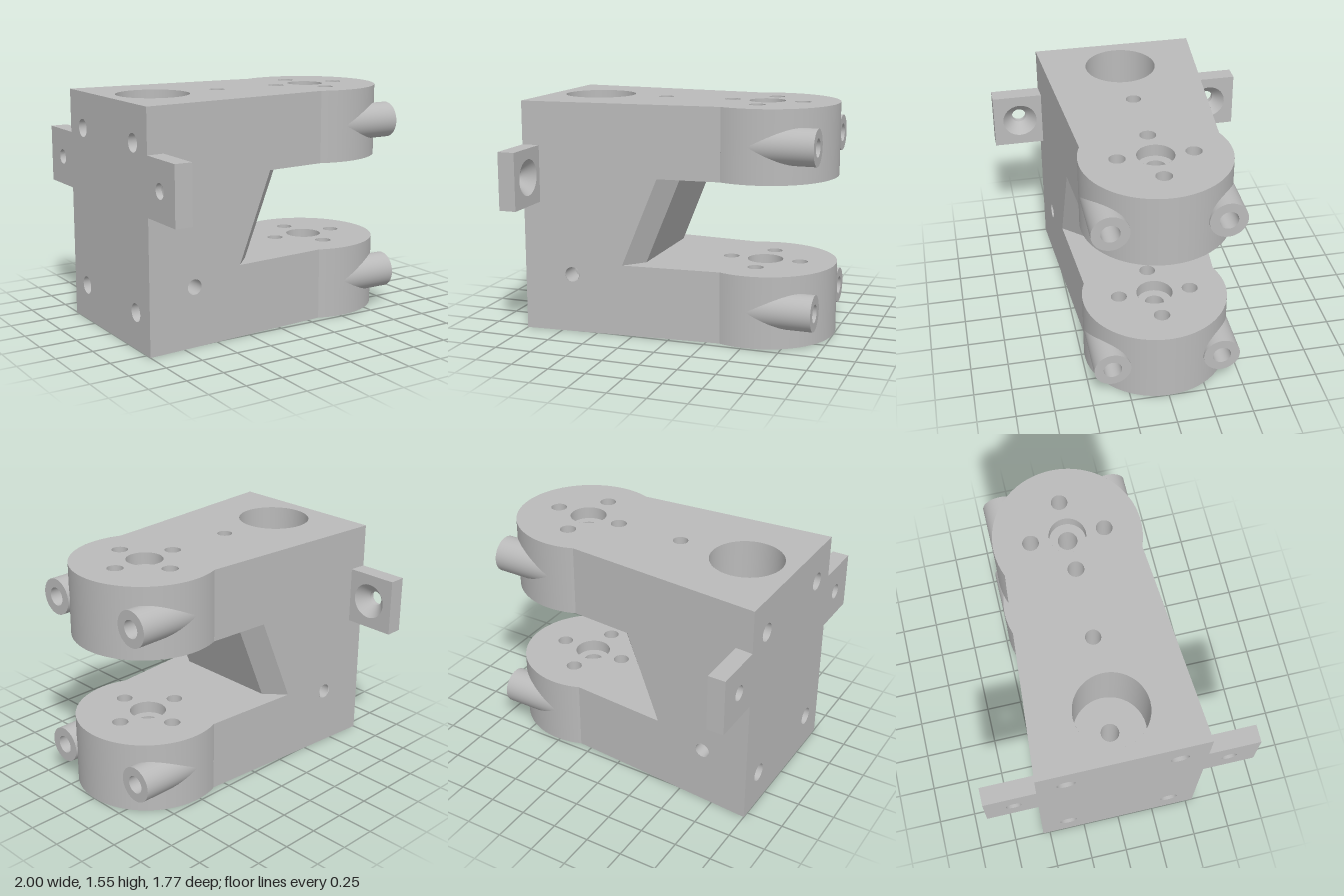
import * as THREE from 'three';

const grey = new THREE.MeshStandardMaterial({ color: 0xbababa, side: THREE.DoubleSide });
grey.name = 'machined grey';

const H = 1.55, SLOT_LOW = 0.48, SLOT_HIGH = 1.07;  // overall height and slot limits
const BX = 0.52, BR = 0.48, NECK = 0.34;            // boss centre, boss radius, neck position
const TZ = 0.36, TR = 0.12, BORE = 0.06, TUBE_END = 0.95;
const ARMS = [[0, SLOT_LOW, 0.24], [SLOT_HIGH, H, 1.31]];  // bottom, top, tube height
const side = x => 0.548 - (x + 1) * (0.103 / 1.34);  // half width of the tapered body
const DEG = Math.PI / 180;

function add(parent, name, geo) {
  const m = new THREE.Mesh(geo, grey);
  m.name = name;
  parent.add(m);
  return m;
}

const circle = (x, y, r) => new THREE.Path().absarc(x, y, r, 0, Math.PI * 2, true);
const poly = pts => new THREE.Shape(pts.map(p => new THREE.Vector2(...p)));

// Flat face from an outline with holes, placed by a mapping rule
function plate(outline, holes, map) {
  const s = poly(outline);
  s.holes.push(...holes);
  const g = new THREE.ShapeGeometry(s, 24);
  const p = g.attributes.position;
  for (let i = 0; i < p.count; i++) p.setXYZ(i, ...map(p.getX(i), p.getY(i)));
  g.computeVertexNormals();
  return g;
}
const up = y => (u, v) => [u, y, -v];
const down = y => (u, v) => [u, y, v];

function quad(...corners) {
  const g = new THREE.BufferGeometry();
  g.setAttribute('position', new THREE.Float32BufferAttribute(corners.flat(), 3));
  g.setIndex([0, 1, 2, 0, 2, 3]);
  g.computeVertexNormals();
  return g;
}

// Open upright cylinder between two heights
function shaft(x, z, r, y0, y1) {
  return new THREE.CylinderGeometry(r, r, y1 - y0, 40, 1, true).translate(x, (y0 + y1) / 2, z);
}
// Open cylinder or cone along x
function shaftX(r0, r1, x0, x1, y, z) {
  return new THREE.CylinderGeometry(r1, r0, x1 - x0, 48, 1, true)
    .rotateZ(-Math.PI / 2).translate((x0 + x1) / 2, y, z);
}
function disc(inner, outer, y, x, z = 0) {
  return new THREE.RingGeometry(inner, outer, 40).rotateX(-Math.PI / 2).translate(x, y, z);
}

// Rounded nose of the plan outline, from -z to +z
const nose = [];
const noseEnd = 90 + Math.asin((BX - NECK) / BR) / DEG;
for (let i = 0; i <= 90; i++) {
  const a = (-noseEnd + 2 * noseEnd * i / 90) * DEG;
  nose.push([BX + BR * Math.cos(a), BR * Math.sin(a)]);
}
const ring4 = [[0.24, 0], [-0.24, 0], [0, 0.24], [0, -0.24]].map(([dx, z]) => [BX + dx, z]);
const bossHoles = () => [circle(BX, 0, 0.12), ...ring4.map(([x, z]) => circle(x, z, 0.053))];

function addBody(g) {
  const plan = [[-1, -side(-1)], ...nose, [-1, side(-1)]];
  const sq = 0.15, PX = -0.67;
  const square = [[PX - sq, -sq], [PX + sq, -sq], [PX + sq, sq], [PX - sq, sq]];
  add(g, 'topFace', plate(plan, [circle(PX, 0, 0.24), circle(-0.19, 0, 0.05), ...bossHoles()], up(H)));
  add(g, 'bottomFace', plate(plan, [poly(square), ...bossHoles()], down(0)));

  // Slot faces stop at a chamfered, sloping wall
  const slotPlan = (outer, inner, zi) =>
    [[inner, -zi], [outer, -side(outer)], ...nose, [outer, side(outer)], [inner, zi]];
  add(g, 'slotFloor', plate(slotPlan(-0.32, -0.2, 0.363), bossHoles(), up(SLOT_LOW)));
  add(g, 'slotCeiling', plate(slotPlan(-0.08, 0.04, 0.352), bossHoles(), down(SLOT_HIGH)));
  add(g, 'slotWall', quad([-0.2, SLOT_LOW, -0.363], [0.04, SLOT_HIGH, -0.352],
    [0.04, SLOT_HIGH, 0.352], [-0.2, SLOT_LOW, 0.363]));

  // Back face with the four bolt bores
  const w = side(-1);
  const bores = ARMS.flatMap(([, , y]) => [circle(TZ, y, BORE), circle(-TZ, y, BORE)]);
  add(g, 'backFace', plate([[-w, 0], [w, 0], [w, H], [-w, H]], bores, (u, v) => [-1, v, u]));

  // Stepped vertical hole with a square pocket below
  add(g, 'largeBore', shaft(PX, 0, 0.24, 1.05, H));
  add(g, 'largeBoreFloor', disc(0.06, 0.24, 1.05, PX));
  add(g, 'centreBore', shaft(PX, 0, 0.06, 0.3, 1.05));
  add(g, 'pocketRoof', plate(square, [circle(PX, 0, 0.06)], down(0.3)));
  square.forEach(([x, z], i) => {
    const [x2, z2] = square[(i + 1) % 4];
    add(g, 'pocketWall', quad([x, 0, z], [x, 0.3, z], [x2, 0.3, z2], [x2, 0, z2]));
  });
  add(g, 'pinHole', shaft(-0.19, 0, 0.05, 1.25, H));
  add(g, 'pinHoleFloor', disc(0, 0.05, 1.25, -0.19));
}

function addBoss(g, [y0, y1, ty]) {
  // Curved wall, left open where the tubes run into it
  const c = 0.085;
  const wall = (a, b, lo, hi) => add(g, 'bossWall', new THREE.CylinderGeometry(BR, BR, hi - lo,
    Math.ceil((b - a) / 2), 1, true, a * DEG, (b - a) * DEG).translate(BX, (lo + hi) / 2, 0));
  const t0 = Math.acos((TZ + c) / BR) / DEG, t1 = Math.acos((TZ - c) / BR) / DEG;
  const start = 90 - noseEnd;
  wall(start, t0, y0, y1);
  wall(t1, 180 - t1, y0, y1);
  wall(180 - t0, 180 - start, y0, y1);
  for (const [a, b] of [[t0, t1], [180 - t1, 180 - t0]]) {
    wall(a, b, y0, ty - c);
    wall(a, b, ty + c, y1);
  }
  // Pivot hole counterbored from both faces, with four holes around it
  const d = 0.08;
  add(g, 'pivotBore', shaft(BX, 0, 0.063, y0 + d, y1 - d));
  add(g, 'lowerCounterbore', shaft(BX, 0, 0.12, y0, y0 + d));
  add(g, 'upperCounterbore', shaft(BX, 0, 0.12, y1 - d, y1));
  for (const y of [y0 + d, y1 - d]) add(g, 'counterboreSeat', disc(0.063, 0.12, y, BX));
  for (const [x, z] of ring4) add(g, 'screwHole', shaft(x, z, 0.053, y0, y1));
}

// Parts found on both sides, built on +z
function addSide(g) {
  const outline = [[-1, 0], [NECK, 0], [NECK, SLOT_LOW], [-0.32, SLOT_LOW], [-0.08, SLOT_HIGH],
    [NECK, SLOT_HIGH], [NECK, H], [-1, H]];
  add(g, 'sideFace', plate(outline, [circle(-0.67, 0.395, 0.05)], (u, v) => [u, v, side(u)]));
  const zs = side(-0.67);
  add(g, 'sideHole', new THREE.CylinderGeometry(0.05, 0.05, 0.15, 32, 1, true)
    .rotateX(Math.PI / 2).translate(-0.67, 0.395, zs - 0.075));
  add(g, 'sideHoleFloor', new THREE.CircleGeometry(0.05, 32).translate(-0.67, 0.395, zs - 0.15));
  add(g, 'slotChamfer', quad([-0.2, SLOT_LOW, 0.363], [0.04, SLOT_HIGH, 0.352],
    [-0.08, SLOT_HIGH, side(-0.08)], [-0.32, SLOT_LOW, side(-0.32)]));

  for (const [, , y] of ARMS) {
    // Tube whose inner end follows the round boss
    const tube = shaftX(TR, TR, 0, TUBE_END, y, TZ);
    const p = tube.attributes.position;
    for (let i = 0; i < p.count; i++) {
      if (p.getX(i) < 0.5) {
        p.setX(i, BX + Math.sqrt(Math.max(0, BR * BR - p.getZ(i) ** 2)) - 0.005);
      }
    }
    add(g, 'boltTube', tube);
    add(g, 'boltTubeEnd', new THREE.RingGeometry(BORE, TR, 48)
      .rotateY(Math.PI / 2).translate(TUBE_END, y, TZ));
    add(g, 'boltBore', shaftX(BORE, BORE, -1, TUBE_END, y, TZ));
  }

  // Mounting lug with a countersunk hole
  const cz = 0.7, cy = 1.07, mid = -0.96, front = -0.885;
  for (const [x0, x1, r] of [[-1, mid, 0.05], [mid, front, 0.12]]) {
    const s = poly([[-0.885, 0.88], [-0.54, 0.88], [-0.54, 1.26], [-0.885, 1.26]]);
    s.holes.push(circle(-cz, cy, r));
    add(g, 'lug', new THREE.ExtrudeGeometry(s, { depth: x1 - x0, bevelEnabled: false, curveSegments: 24 })
      .rotateY(Math.PI / 2).translate(x0, 0, 0));
  }
  add(g, 'lugCountersink', shaftX(0.05, 0.12, mid, front, cy, cz));
}

export function createModel() {
  const model = new THREE.Group();
  model.name = 'clevisBracket';
  addBody(model);
  ARMS.forEach((arm, i) => {
    const boss = new THREE.Group();
    boss.name = i ? 'upperBoss' : 'lowerBoss';
    addBoss(boss, arm);
    model.add(boss);
  });
  for (const s of [1, -1]) {
    const half = new THREE.Group();
    half.name = s > 0 ? 'frontSide' : 'backSide';
    addSide(half);
    half.scale.z = s;
    model.add(half);
  }
  return model;
}
